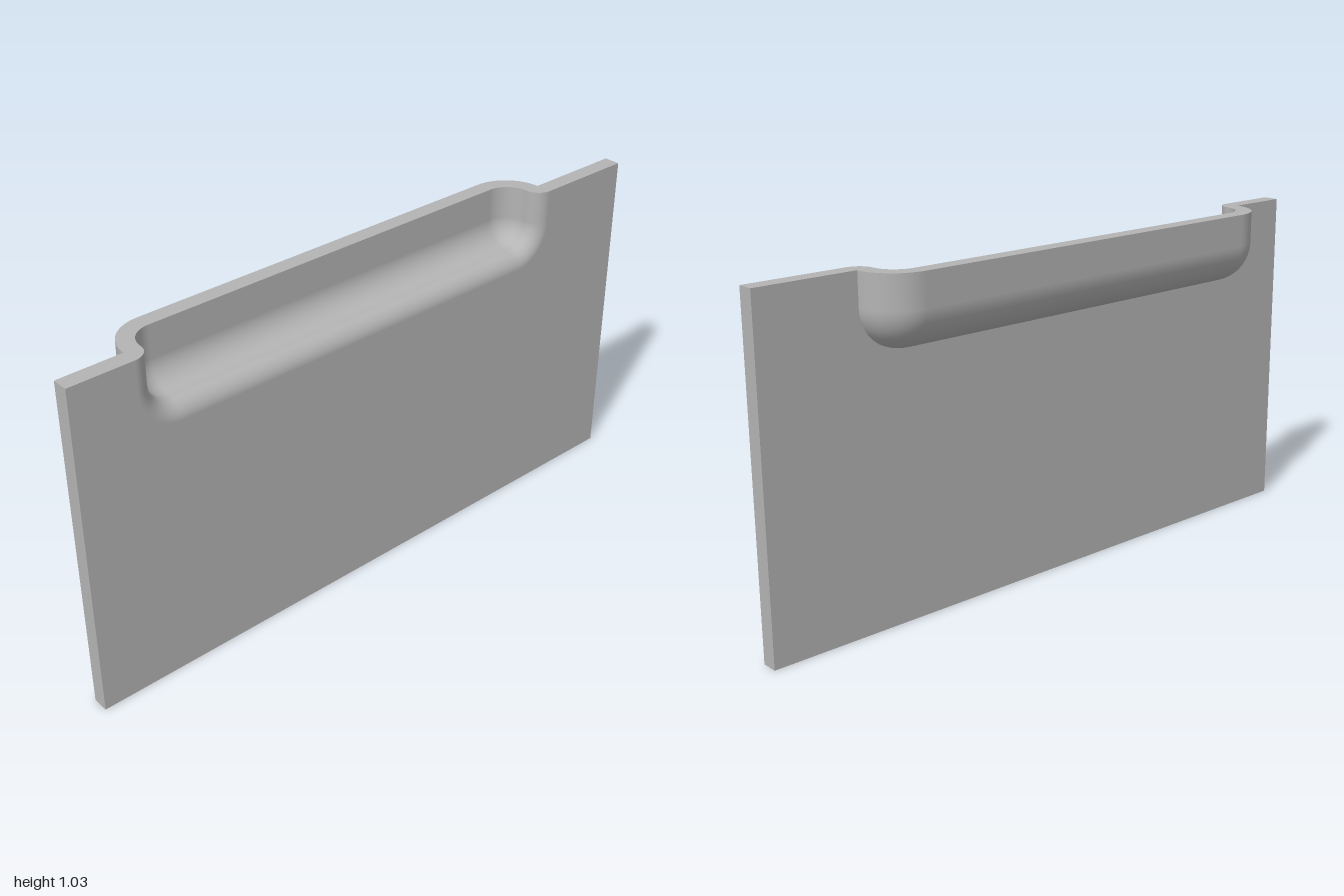
import * as THREE from 'three';

const H = 1.027;                    // plate height
const BACK = 0.0375, FRONT = 0.0875; // plate faces along x
const R = 0.125, T = FRONT - BACK;  // outer pocket radius, sheet thickness
const Z0 = -0.56, Z1 = 0.678, CY = H - 0.1; // flat pocket floor: z range, lower edge
const N = 14;                       // steps per quarter round

// Quarter-round section: d = distance out from the floor, x = depth, (nd, nx) = normal
function arc(fn) {
  return Array.from({ length: N + 1 }, (_, i) => {
    const a = (i / N) * Math.PI / 2;
    return fn(Math.sin(a), Math.cos(a));
  });
}
const bowl = (r, sign) => arc((s, c) => ({ d: r * s, x: BACK - r * c, nd: -sign * s, nx: sign * c }));
const lip = arc((s, c) => ({ d: R - T * c, x: BACK + T * s, nd: -c, nx: s }));
const inner = [...bowl(R - T, 1), ...lip.slice(1)];
const outer = bowl(R, -1);

// U-shaped path round the pocket: base point and outward direction
const path = [
  { z: Z1, y: H, uz: 1, uy: 0 },
  ...arc((s, c) => ({ z: Z1, y: CY, uz: c, uy: -s })),
  ...arc((s, c) => ({ z: Z0, y: CY, uz: -s, uy: -c })),
  { z: Z0, y: H, uz: -1, uy: 0 },
];

// Sweep a section round the pocket
function sweep(section, flip) {
  const pos = [], nor = [], idx = [], m = path.length;
  section.forEach((s, i) => path.forEach((p, j) => {
    pos.push(s.x, p.y + s.d * p.uy, p.z + s.d * p.uz);
    nor.push(s.nx, s.nd * p.uy, s.nd * p.uz);
    if (i === section.length - 1 || j === m - 1) return;
    const a = i * m + j, b = a + m, c = a + 1, d = b + 1;
    idx.push(...(flip ? [a, c, b, b, c, d] : [a, b, c, b, d, c]));
  }));
  const g = new THREE.BufferGeometry();
  g.setAttribute('position', new THREE.Float32BufferAttribute(pos, 3));
  g.setAttribute('normal', new THREE.Float32BufferAttribute(nor, 3));
  g.setIndex(idx);
  return g;
}

// Flat face from a (z, y) outline, facing +x or -x
function panel(points, x, facing) {
  const shape = new THREE.Shape(points.map(([z, y]) => new THREE.Vector2(-facing * z, y)));
  return new THREE.ShapeGeometry(shape).rotateY(facing * Math.PI / 2).translate(x, 0, 0);
}

export function createModel() {
  const group = new THREE.Group();
  const grey = new THREE.MeshStandardMaterial({ color: 0xb4b4b4 });
  grey.name = 'plain grey';
  const add = (name, geometry) => {
    const mesh = new THREE.Mesh(geometry, grey);
    mesh.name = name;
    group.add(mesh);
  };

  // Plate faces, notched where the pocket begins
  const notch = path.map(p => [p.z + R * p.uz, p.y + R * p.uy]);
  const plate = [[1, H], ...notch, [-1, H], [-1, 0], [1, 0]];
  add('plateInnerFace', panel(plate, FRONT, 1));
  add('plateOuterFace', panel(plate, BACK, -1));

  // Pocket floor, both sides
  const floor = [[Z0, CY], [Z1, CY], [Z1, H], [Z0, H]];
  add('pocketInnerFloor', panel(floor, BACK - R + T, 1));
  add('pocketOuterFloor', panel(floor, BACK - R, -1));

  // Rounded pocket walls
  add('pocketInnerWall', sweep(inner, false));
  add('pocketOuterWall', sweep(outer, true));

  // Top edge follows the section of the sheet
  const half = (section, z, side) => section.map(s => [s.x, z + side * s.d]);
  const rim = [
    [FRONT, 1], ...half(inner, Z1, 1).reverse(), ...half(inner, Z0, -1), [FRONT, -1],
    [BACK, -1], ...half(outer, Z0, -1).reverse(), ...half(outer, Z1, 1), [BACK, 1],
  ];
  const rimShape = new THREE.Shape(rim.map(([x, z]) => new THREE.Vector2(x, -z)));
  add('topEdge', new THREE.ShapeGeometry(rimShape).rotateX(-Math.PI / 2).translate(0, H, 0));

  // Bottom and end edges of the plate
  const mid = (BACK + FRONT) / 2;
  add('bottomEdge', new THREE.PlaneGeometry(T, 2).rotateX(Math.PI / 2).translate(mid, 0, 0));
  add('frontEdge', new THREE.PlaneGeometry(T, H).translate(mid, H / 2, 1));
  add('backEdge', new THREE.PlaneGeometry(T, H).rotateY(Math.PI).translate(mid, H / 2, -1));
  return group;
}
